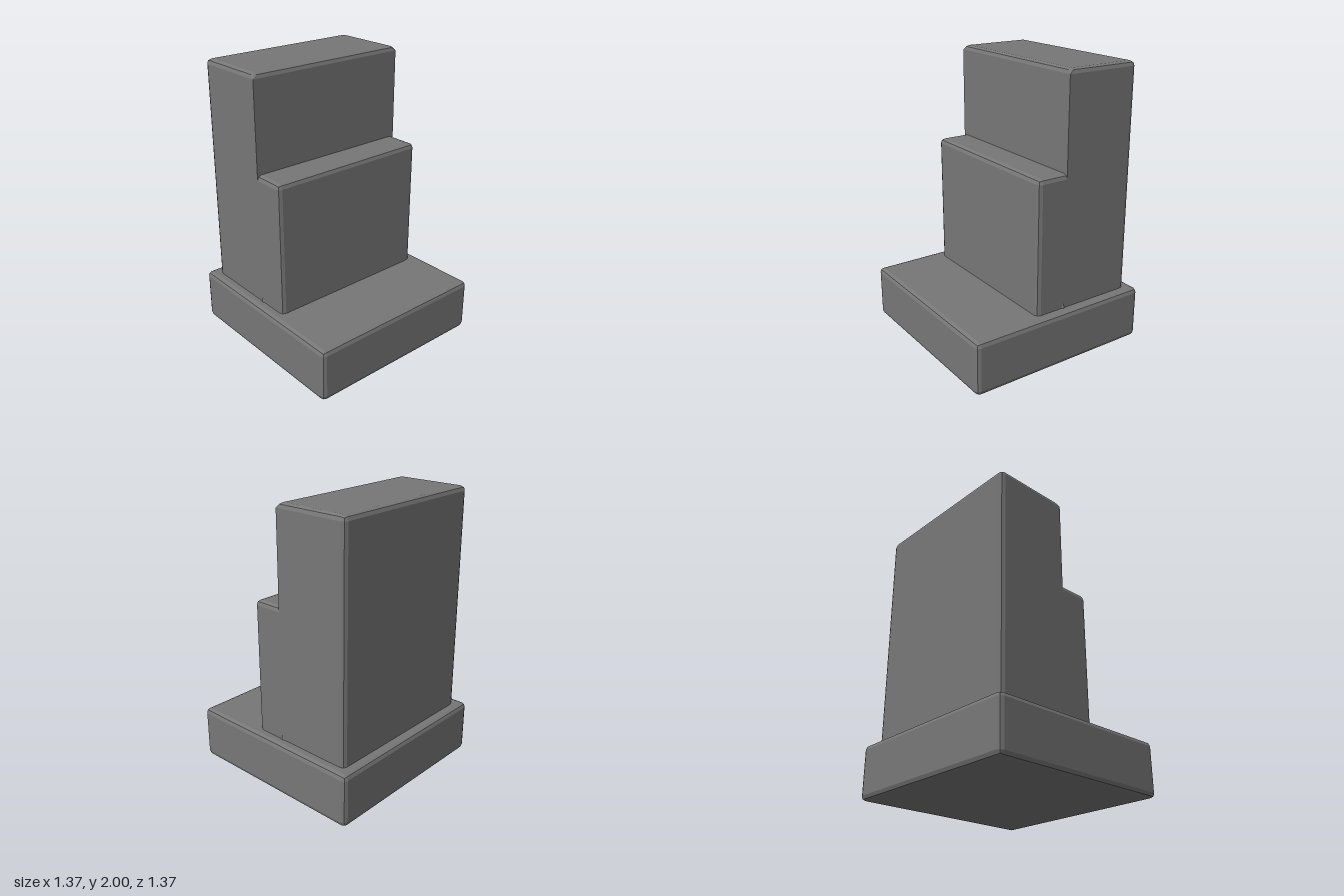
import * as THREE from 'three';
import { RoundedBoxGeometry } from 'three/addons/geometries/RoundedBoxGeometry.js';

const BEVEL = 0.033;
const material = new THREE.MeshStandardMaterial({ color: 0x777777, flatShading: true });

// Bevelled block given by its half width and its y and z ranges
function block(name, halfX, y0, y1, z0, z1, sharpFront = false) {
  const h = y1 - y0, d = z1 - z0;
  const geometry = new RoundedBoxGeometry(halfX * 2, h, d, 1, BEVEL);

  // Square off the upright front corners, keeping the bevel along the top
  if (sharpFront) {
    const p = geometry.attributes.position;
    for (let i = 0; i < p.count; i++) {
      const atFront = p.getZ(i) > d / 2 - BEVEL - 1e-4;
      const atSide = Math.abs(p.getX(i)) > halfX - BEVEL - 1e-4;
      if (atFront && atSide && p.getY(i) < h / 2 - BEVEL + 1e-4) {
        p.setX(i, Math.sign(p.getX(i)) * halfX);
        p.setZ(i, d / 2);
      }
    }
  }
  geometry.computeVertexNormals();

  const mesh = new THREE.Mesh(geometry, material);
  mesh.name = name;
  mesh.position.set(0, (y0 + y1) / 2, (z0 + z1) / 2);
  return mesh;
}

export function createModel() {
  const model = new THREE.Group();
  model.name = 'steppedTower';
  model.add(
    block('basePlinth', 0.685, 0, 0.38, -0.685, 0.685),
    block('rearTower', 0.612, 0.3, 2, -0.612, -0.06, true),
    // Its back edge sits inside the tower so the sides run on flush
    block('frontStep', 0.612, 0.3, 1.33, -0.06 - BEVEL, 0.165)
  );

  // Small pointed flare at the foot of each side seam
  for (const side of [1, -1]) {
    const flare = new THREE.Mesh(new THREE.ConeGeometry(0.03, 0.06, 4), material);
    flare.name = side > 0 ? 'leftSeamFlare' : 'rightSeamFlare';
    flare.scale.x = 0.4;
    flare.position.set(side * 0.612, 0.39, -0.06);
    model.add(flare);
  }
  return model;
}
